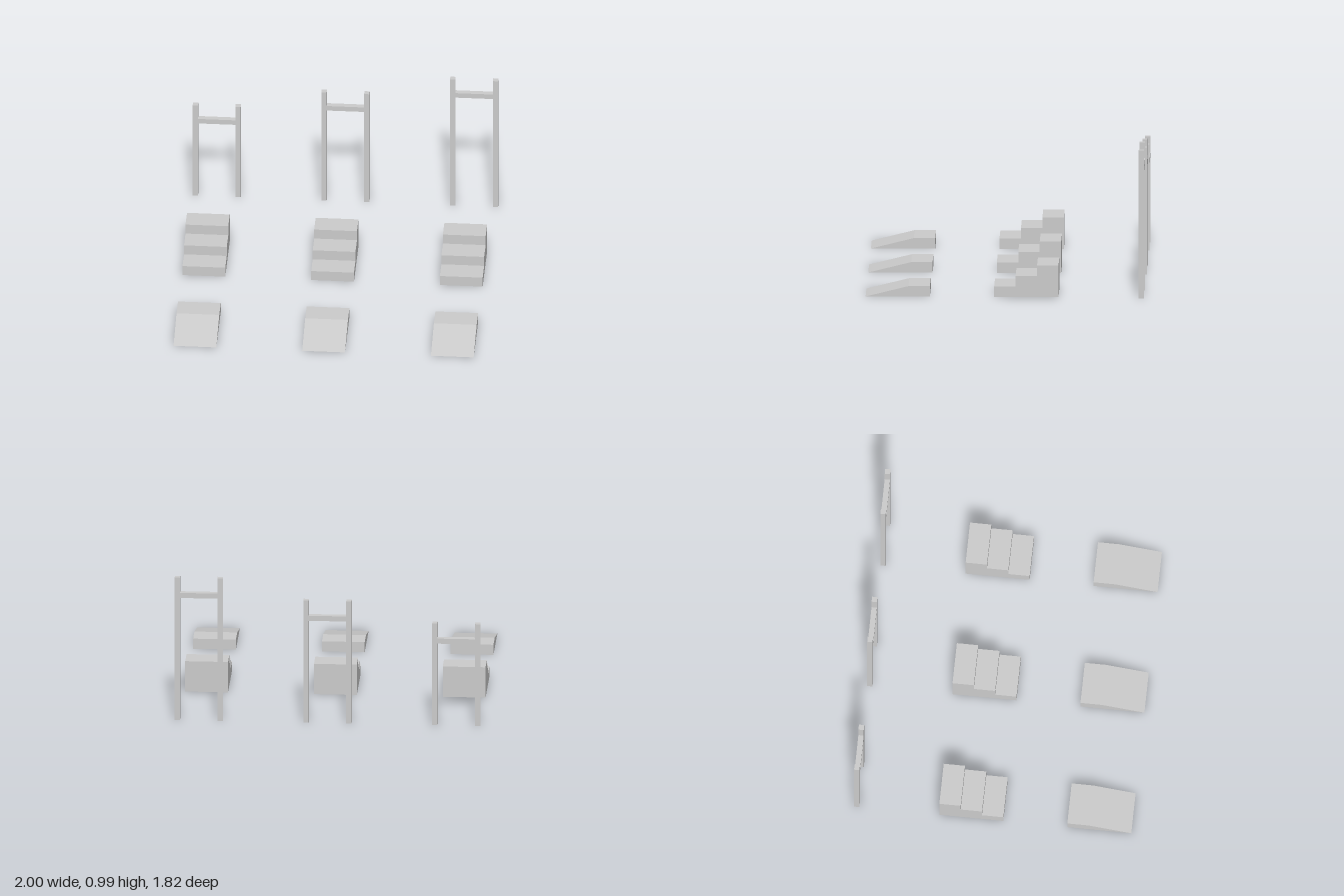
import * as THREE from 'three';

const UNIT = 0.07;          // height of one step
const WIDTH = 4 * UNIT;     // width of ramps and stairs
const POST = UNIT / 2;      // thickness of posts and crossbars
const BACK = -0.91;         // rear face of the bar frames

const material = new THREE.MeshStandardMaterial({ color: 0xcccccc, flatShading: true });

// Solid with a side profile of [z, y] points, running from x = 0 to x = WIDTH
function profileBlock(name, points) {
  const shape = new THREE.Shape(points.map(([z, y]) => new THREE.Vector2(z, y)));
  const geometry = new THREE.ExtrudeGeometry(shape, { depth: WIDTH, bevelEnabled: false });
  geometry.rotateY(-Math.PI / 2).translate(WIDTH, 0, 0);
  const mesh = new THREE.Mesh(geometry, material);
  mesh.name = name;
  return mesh;
}

// Box placed by its lowest corner
function box(name, w, h, d, x, y, z) {
  const geometry = new THREE.BoxGeometry(w, h, d).translate(w / 2, h / 2, d / 2);
  const mesh = new THREE.Mesh(geometry, material);
  mesh.name = name;
  mesh.position.set(x, y, z);
  return mesh;
}

// Low ramp with a flat landing behind the slope
function ramp() {
  return profileBlock('ramp', [[0.49, 0], [0.91, 0], [0.63, UNIT], [0.49, UNIT]]);
}

// Three solid steps rising towards the back
function stairs() {
  const front = UNIT, tread = 2 * UNIT;
  const points = [[front - 3 * tread, 0], [front, 0]];
  for (let i = 0; i < 3; i++) {
    points.push([front - i * tread, (i + 1) * UNIT], [front - (i + 1) * tread, (i + 1) * UNIT]);
  }
  return profileBlock('stairs', points);
}

// Two posts joined by a crossbar a little below their tops
function barFrame(height) {
  const group = new THREE.Group();
  group.name = 'barFrame';
  group.add(
    box('rightPost', POST, height, POST, 0, 0, BACK),
    box('leftPost', POST, height, POST, WIDTH, 0, BACK),
    box('crossbar', WIDTH - POST, POST, POST, POST, height - 2 * UNIT, BACK)
  );
  return group;
}

export function createModel() {
  const model = new THREE.Group();
  model.name = 'exerciseCourse';

  // Three lanes, each with a taller bar frame than the last
  for (let i = 0; i < 3; i++) {
    const lane = new THREE.Group();
    lane.name = `lane${i + 1}`;
    lane.position.x = -1 + i * (2 - WIDTH - POST) / 2;
    lane.add(ramp(), stairs(), barFrame(0.705 + i * 2 * UNIT));
    model.add(lane);
  }
  return model;
}
